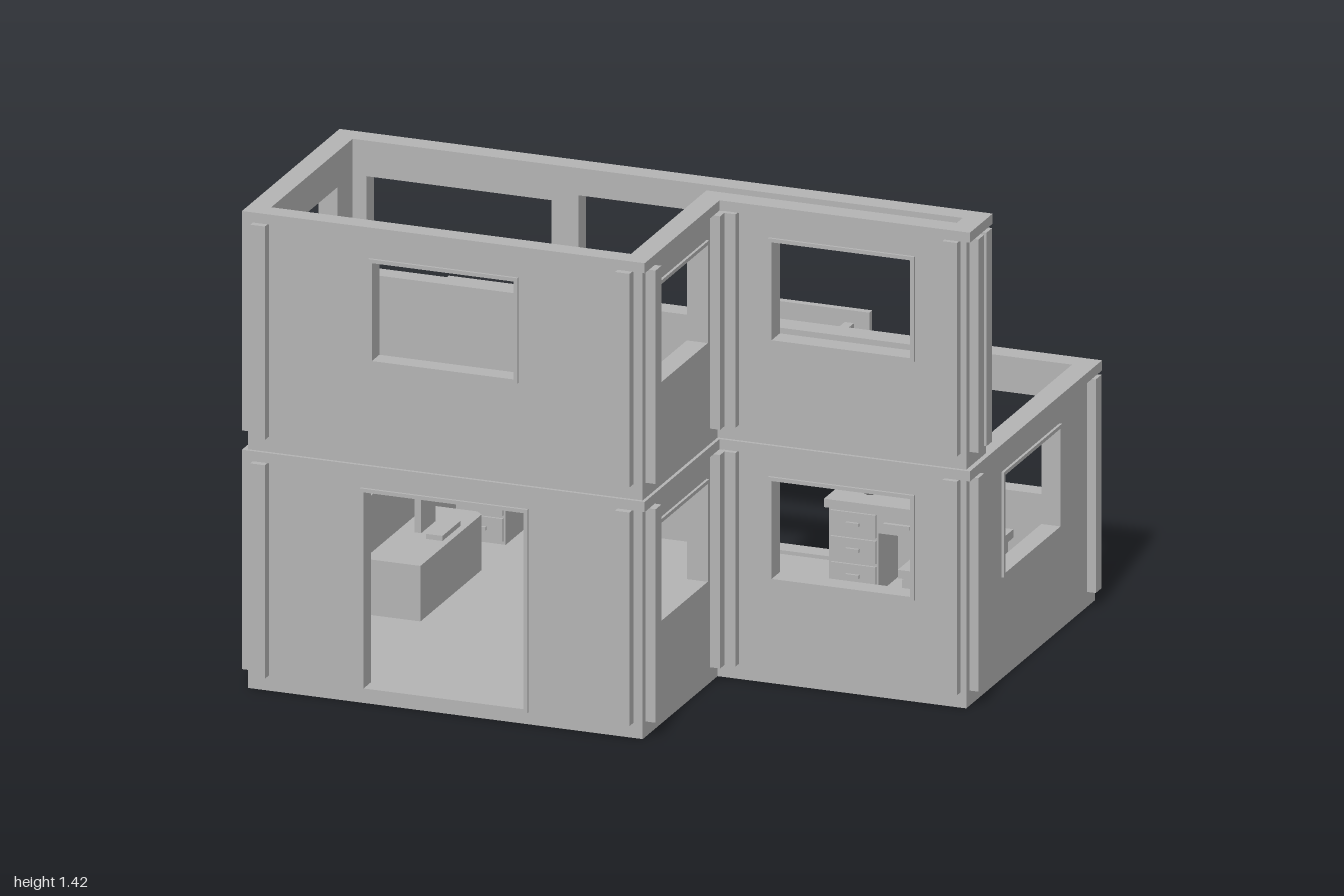
import * as THREE from 'three';

const grey = new THREE.MeshStandardMaterial({ color: 0xb4b4b4 });
grey.name = 'plain grey';

function add(parent, name, geometry, x = 0, y = 0, z = 0) {
  const mesh = new THREE.Mesh(geometry, grey);
  mesh.name = name;
  mesh.position.set(x, y, z);
  parent.add(mesh);
  return mesh;
}

// Box given by its lower and upper limits on each axis
function box(parent, name, x0, x1, y0, y1, z0, z1) {
  return add(parent, name, new THREE.BoxGeometry(x1 - x0, y1 - y0, z1 - z0),
    (x0 + x1) / 2, (y0 + y1) / 2, (z0 + z1) / 2);
}

const points = (list) => list.map(([x, y]) => new THREE.Vector2(x, y));
const rect = (a, b, c, d) => points([[a, c], [b, c], [b, d], [a, d]]);

function extrude(outline, holes, depth) {
  const shape = new THREE.Shape(outline);
  holes.forEach((h) => shape.holes.push(new THREE.Path(h)));
  return new THREE.ExtrudeGeometry(shape, { depth, bevelEnabled: false });
}

// Upright panel along 'x' or 'z', filling c0..c1 across its thickness
function panel(parent, name, axis, outline, holes, c0, c1) {
  const geometry = extrude(outline, holes, c1 - c0);
  if (axis === 'x') return add(parent, name, geometry, 0, 0, c0);
  geometry.rotateY(-Math.PI / 2);
  return add(parent, name, geometry, c1, 0, 0);
}

// Horizontal slab from a plan outline in x, z
function slab(parent, name, outline, holes, bottom, top) {
  const geometry = extrude(outline, holes, top - bottom);
  geometry.rotateX(Math.PI / 2);
  return add(parent, name, geometry, 0, top, 0);
}

// Wall with framed openings [a0, a1, y0, y1]
function wall(parent, name, axis, a0, a1, y0, y1, c0, c1, outward, openings = []) {
  panel(parent, name, axis, rect(a0, a1, y0, y1), openings.map((o) => rect(...o)), c0, c1);
  const f = 0.011;
  for (const [p, q, r, s] of openings) {
    panel(parent, 'openingFrame', axis, rect(p, q, r, s), [rect(p + f, q - f, r + f, s - f)],
      c0 - (outward < 0 ? 0.008 : 0), c1 + (outward > 0 ? 0.008 : 0));
  }
}

const plan = (l, r, wingFront, side, back, front) =>
  points([[l, back], [r, back], [r, wingFront], [side, wingFront], [side, front], [l, front]]);

function storey(name, y, back, leftWindow, rightWindows) {
  const g = new THREE.Group();
  g.name = name;
  const y1 = y + 0.68, win = [y + 0.302, y + 0.615];
  const wb = back + 0.015;
  const front = y === 0 ? [-0.63, -0.125, 0.035, 0.64] : [-0.605, -0.155, ...win];

  wall(g, 'frontWall', 'x', -0.97, 0.22, y, y1, 0.76, 0.81, 1, [front]);
  wall(g, 'wingFrontWall', 'x', 0.165, 0.97, y, y1, 0.18, 0.235, 1, [[0.375, 0.815, ...win]]);
  wall(g, 'wingSideWall', 'z', 0.18, 0.81, y, y1, 0.165, 0.22, 1, [[0.32, 0.73, ...win]]);
  wall(g, 'leftWall', 'z', wb, 0.81, y, y1, -0.97, -0.92, -1, [[...leftWindow, ...win]]);
  wall(g, 'rightWall', 'z', wb, 0.235, y, y1, 0.92, 0.97, 1, rightWindows.map((w) => [...w, ...win]));
  wall(g, 'backWall', 'x', -0.97, 0.97, y, y1, wb, wb + 0.05, -1, [
    [-0.89, -0.31, ...win], [-0.25, 0.25, y + 0.035, y + 0.64], [0.31, 0.89, ...win]]);

  // Cornice around the top
  slab(g, 'cornice', plan(-0.985, 0.985, 0.245, 0.23, back, 0.82),
    [plan(-0.92, 0.92, 0.18, 0.165, back + 0.065, 0.76)], y1, y + 0.71);

  // Pilasters beside every corner
  const p0 = y + 0.045, p1 = y1;
  for (const x of [-0.93, 0.17]) box(g, 'pilaster', x - 0.022, x + 0.022, p0, p1, 0.805, 0.84);
  for (const x of [0.262, 0.93]) box(g, 'pilaster', x - 0.022, x + 0.022, p0, p1, 0.23, 0.26);
  for (const x of [-0.93, 0.93]) box(g, 'pilaster', x - 0.022, x + 0.022, p0, p1, back - 0.015, wb + 0.005);
  for (const z of [0.27, 0.765]) box(g, 'pilaster', 0.215, 0.25, p0, p1, z - 0.022, z + 0.022);
  for (const z of [back + 0.057, 0.765]) box(g, 'pilaster', -0.997, -0.965, p0, p1, z - 0.022, z + 0.022);
  for (const z of [back + 0.057, 0.188]) box(g, 'pilaster', 0.965, 0.997, p0, p1, z - 0.022, z + 0.022);
  return g;
}

// Workbench, long side along its local x and drawers facing +z
function bench(extraKnobs) {
  const g = new THREE.Group();
  g.name = 'workbench';
  box(g, 'benchTop', -0.22, 0.22, 0.28, 0.305, -0.088, 0.088);
  box(g, 'centreDrawer', -0.06, 0.06, 0.22, 0.28, -0.07, 0.08);
  box(g, 'drawerHandle', -0.04, 0.04, 0.245, 0.255, 0.08, 0.092);
  for (const s of [-1, 1]) {
    box(g, 'pedestal', s * 0.135 - 0.075, s * 0.135 + 0.075, 0.04, 0.28, -0.075, 0.075);
    for (let i = 0; i < 3; i++) {
      const y = 0.05 + i * 0.077;
      box(g, 'drawerFront', s * 0.135 - 0.068, s * 0.135 + 0.068, y, y + 0.068, 0.075, 0.082);
      box(g, 'drawerPull', s * 0.135 - 0.02, s * 0.135 + 0.02, y + 0.03, y + 0.04, 0.082, 0.09);
    }
  }
  // Jointed arm
  add(g, 'armBase', new THREE.CylinderGeometry(0.028, 0.028, 0.05, 16), 0.105, 0.33, 0);
  const arm = add(g, 'arm', new THREE.BoxGeometry(0.105, 0.016, 0.016), 0.06, 0.382, 0);
  arm.rotation.z = -0.8;
  box(g, 'armHead', -0.02, 0.045, 0.405, 0.43, -0.024, 0.024);
  // Round dish and knobs
  add(g, 'ball', new THREE.SphereGeometry(0.029, 12, 8), -0.115, 0.33, 0);
  if (extraKnobs) {
    for (const x of [-0.1, -0.045, 0.03, 0.098]) {
      add(g, 'knob', new THREE.SphereGeometry(0.019, 10, 6), x, 0.33, -0.043);
    }
    box(g, 'knobTray', -0.155, 0.15, 0.305, 0.314, -0.068, -0.02);
  }
  return g;
}

export function createModel() {
  const model = new THREE.Group();
  model.name = 'twoStoreyBuilding';
  model.add(storey('lowerStorey', 0, -0.77, [-0.19, 0.25], [[-0.48, -0.035]]));
  model.add(storey('upperStorey', 0.71, 0.07, [0.24, 0.675], []));

  // Floors, the upper one with a ladder hatch
  slab(model, 'lowerFloor', plan(-0.965, 0.965, 0.23, 0.215, -0.75, 0.805), [], 0, 0.035);
  slab(model, 'upperFloor', plan(-0.965, 0.965, 0.23, 0.215, 0.09, 0.805),
    [points([[-0.88, 0.29], [-0.455, 0.29], [-0.455, 0.72], [-0.64, 0.75], [-0.88, 0.755]])], 0.705, 0.74);

  // Ladder
  const ladder = new THREE.Group();
  ladder.name = 'ladder';
  for (const z of [0.425, 0.585]) box(ladder, 'ladderRail', -0.88, -0.85, 0.035, 0.71, z - 0.006, z + 0.006);
  for (let i = 0; i < 10; i++) {
    const y = 0.063 + i * 0.068;
    box(ladder, 'ladderRung', -0.876, -0.862, y - 0.006, y + 0.006, 0.43, 0.58);
  }
  model.add(ladder);

  // Workbenches
  for (const [x, z, turn, knobs] of [[-0.64, -0.555, 0, false], [0.485, -0.555, 0, true], [0.767, -0.2, -Math.PI / 2, false]]) {
    const b = bench(knobs);
    b.position.set(x, 0, z);
    b.rotation.y = turn;
    model.add(b);
  }

  // Couch with an upright panel by the left wall
  const couch = new THREE.Group();
  couch.name = 'couch';
  slab(couch, 'couchBase', points([[-0.86, 0.2], [-0.86, -0.27], [-0.84, -0.29], [-0.71, -0.29],
    [-0.69, -0.27], [-0.69, 0.2]]), [], 0.035, 0.2);
  box(couch, 'couchPanel', -0.81, -0.79, 0.2, 0.43, -0.17, -0.06);
  box(couch, 'couchPad', -0.76, -0.71, 0.2, 0.215, -0.16, -0.02);
  model.add(couch);

  // Sign board and posts around the back door
  box(model, 'signBoard', -0.26, 0.26, 0.635, 0.74, -0.85, -0.828);
  for (const s of [-1, 1]) {
    box(model, 'signBracket', s * 0.2 - 0.014, s * 0.2 + 0.014, 0.675, 0.703, -0.83, -0.765);
    box(model, 'doorPost', s * 0.267 - 0.014, s * 0.267 + 0.014, 0.01, 0.63, -0.79, -0.75);
  }
  return model;
}
